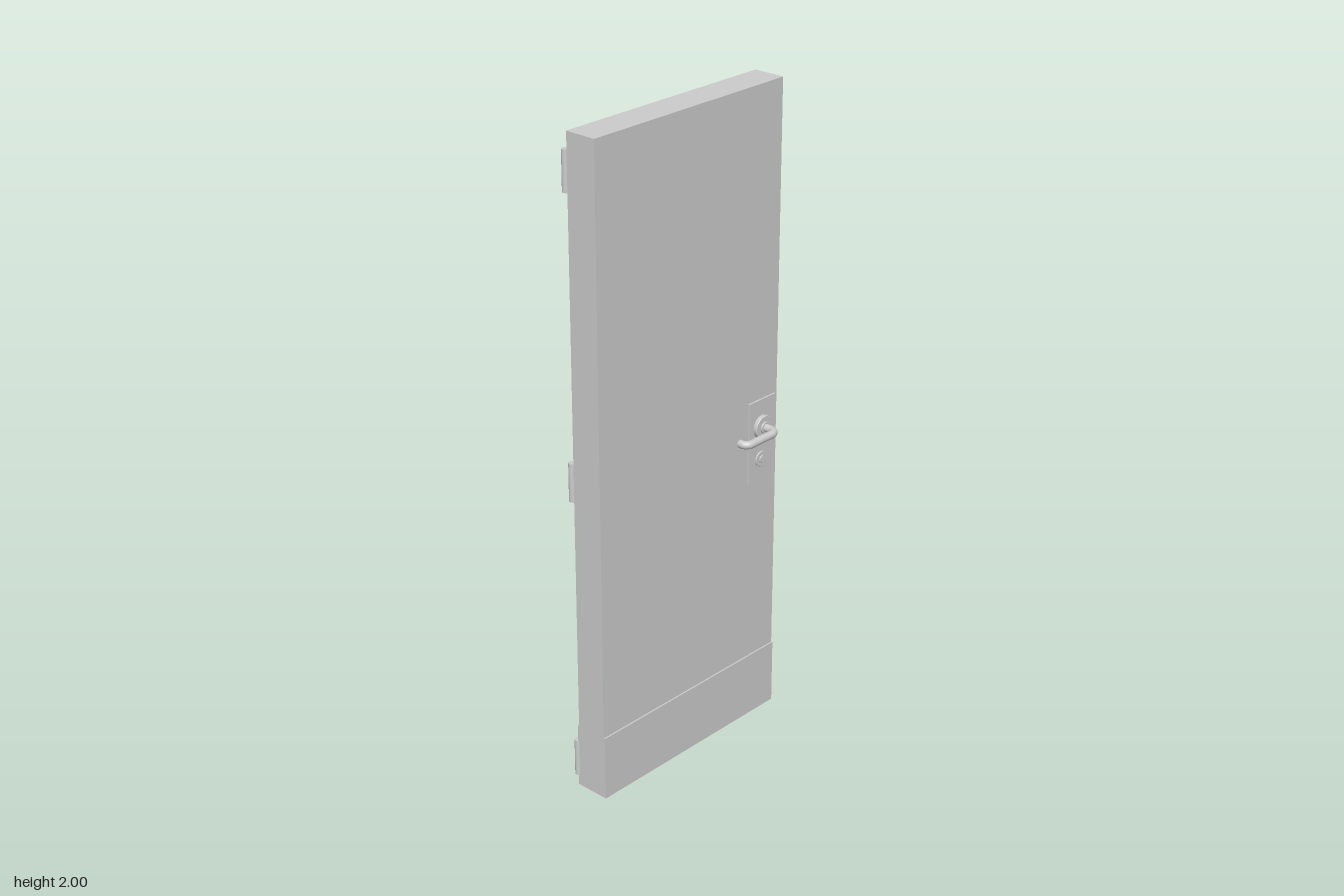
import * as THREE from 'three';

const material = new THREE.MeshStandardMaterial({ color: 0xcccccc });

function add(parent, name, geometry, x = 0, y = 0, z = 0) {
  const mesh = new THREE.Mesh(geometry, material);
  mesh.name = name;
  mesh.position.set(x, y, z);
  parent.add(mesh);
  return mesh;
}

// Box given by its minimum and maximum corners
function box(parent, name, [x0, y0, z0], [x1, y1, z1]) {
  return add(parent, name, new THREE.BoxGeometry(x1 - x0, y1 - y0, z1 - z0),
    (x0 + x1) / 2, (y0 + y1) / 2, (z0 + z1) / 2);
}

// Disc standing on z = z0 with a small bevelled rim
function disc(parent, name, r, z0, z1, bevel = 0.002) {
  const profile = [[0, z0], [r, z0], [r, z0], [r, z1 - bevel], [r, z1 - bevel],
    [r - bevel, z1], [r - bevel, z1], [0, z1]].map(p => new THREE.Vector2(...p));
  const geometry = new THREE.LatheGeometry(profile, 32);
  geometry.rotateX(Math.PI / 2);
  return add(parent, name, geometry);
}

// Bent tubular lever with rose and collar; z = 0 is the plate surface
function makeLever(name) {
  const lever = new THREE.Group();
  lever.name = name;
  disc(lever, 'rose', 0.036, 0, 0.012);
  disc(lever, 'collar', 0.018, 0.012, 0.017, 0.001);

  const r = 0.0122, grip = 0.058, end = -0.131, bend = 0.026;
  const v = (x, z) => new THREE.Vector3(x, 0, z);
  const path = new THREE.CurvePath();
  path.add(new THREE.LineCurve3(v(0, 0.01), v(0, grip - bend)));
  path.add(new THREE.CubicBezierCurve3(v(0, grip - bend), v(0, grip - bend * 0.4),
    v(-bend * 0.4, grip), v(-bend, grip)));
  path.add(new THREE.LineCurve3(v(-bend, grip), v(end + 0.019, grip)));
  path.add(new THREE.CubicBezierCurve3(v(end + 0.019, grip), v(end + 0.008, grip),
    v(end, grip - 0.008), v(end, grip - 0.019)));
  path.add(new THREE.LineCurve3(v(end, grip - 0.019), v(end, 0.031)));
  add(lever, 'leverTube', new THREE.TubeGeometry(path, 72, r, 20, false));

  // Flat cap on the returned end
  const cap = add(lever, 'leverEnd', new THREE.CircleGeometry(r, 20), end, 0, 0.031);
  cap.rotation.x = Math.PI;
  return lever;
}

// Key escutcheon with cylinder core and key slot
function makeLock(name) {
  const lock = new THREE.Group();
  lock.name = name;
  disc(lock, 'keyRing', 0.024, 0, 0.004, 0.001);
  disc(lock, 'keyCore', 0.011, 0.004, 0.007, 0.001);
  box(lock, 'keyBody', [-0.006, -0.021, 0.003], [0.006, 0, 0.006]);
  box(lock, 'keyTurn', [-0.0015, -0.007, 0.006], [0.0015, 0.007, 0.008]);
  return lock;
}

// Hinge with barrel, cranked leaf and end caps
function makeHinge(y) {
  const hinge = new THREE.Group();
  hinge.name = 'hinge';
  hinge.position.y = y;
  const h = 0.118;
  add(hinge, 'hingeBarrel', new THREE.CylinderGeometry(0.0115, 0.0115, h, 24), -0.361, 0, -0.055);
  // Leaf outline in plan, extruded upwards (shape y is -z)
  const leaf = new THREE.Shape([[-0.361, 0.046], [-0.345, 0.044], [-0.27, 0.044], [-0.27, 0.052],
    [-0.342, 0.053], [-0.352, 0.061], [-0.361, 0.063]].map(p => new THREE.Vector2(...p)));
  const geometry = new THREE.ExtrudeGeometry(leaf, { depth: h - 0.006, bevelEnabled: false });
  geometry.rotateX(-Math.PI / 2);
  add(hinge, 'hingeLeaf', geometry, 0, -h / 2 + 0.003, 0);
  return hinge;
}

export function createModel() {
  const door = new THREE.Group();
  door.name = 'door';
  const left = 0.37, right = -0.367, front = 0.055, back = -0.045;

  box(door, 'doorLeaf', [right, 0, back], [left, 2, front]);

  // Kick plates on both faces
  box(door, 'frontKickPlate', [right, 0, front], [left, 0.205, 0.06]);
  box(door, 'backKickPlate', [right, 0, -0.05], [left, 0.205, back]);

  // Handle plates: thin in front, thick behind
  box(door, 'frontHandlePlate', [0.245, 0.79, front], [0.358, 1.053, 0.061]);
  box(door, 'backHandlePlate', [0.245, 0.79, -0.063], [0.358, 1.053, back]);

  // Lever and lock on each plate
  for (const [side, z, turn] of [['front', 0.061, 0], ['back', -0.063, Math.PI]]) {
    const lever = makeLever(side + 'Lever');
    lever.position.set(0.299, 0.967, z);
    const lock = makeLock(side + 'Lock');
    lock.position.set(0.297, 0.863, z);
    for (const part of [lever, lock]) {
      part.rotation.x = turn;
      door.add(part);
    }
  }

  // Three hinges on the back edge
  for (const y of [0.092, 0.99, 1.89]) door.add(makeHinge(y));
  return door;
}
